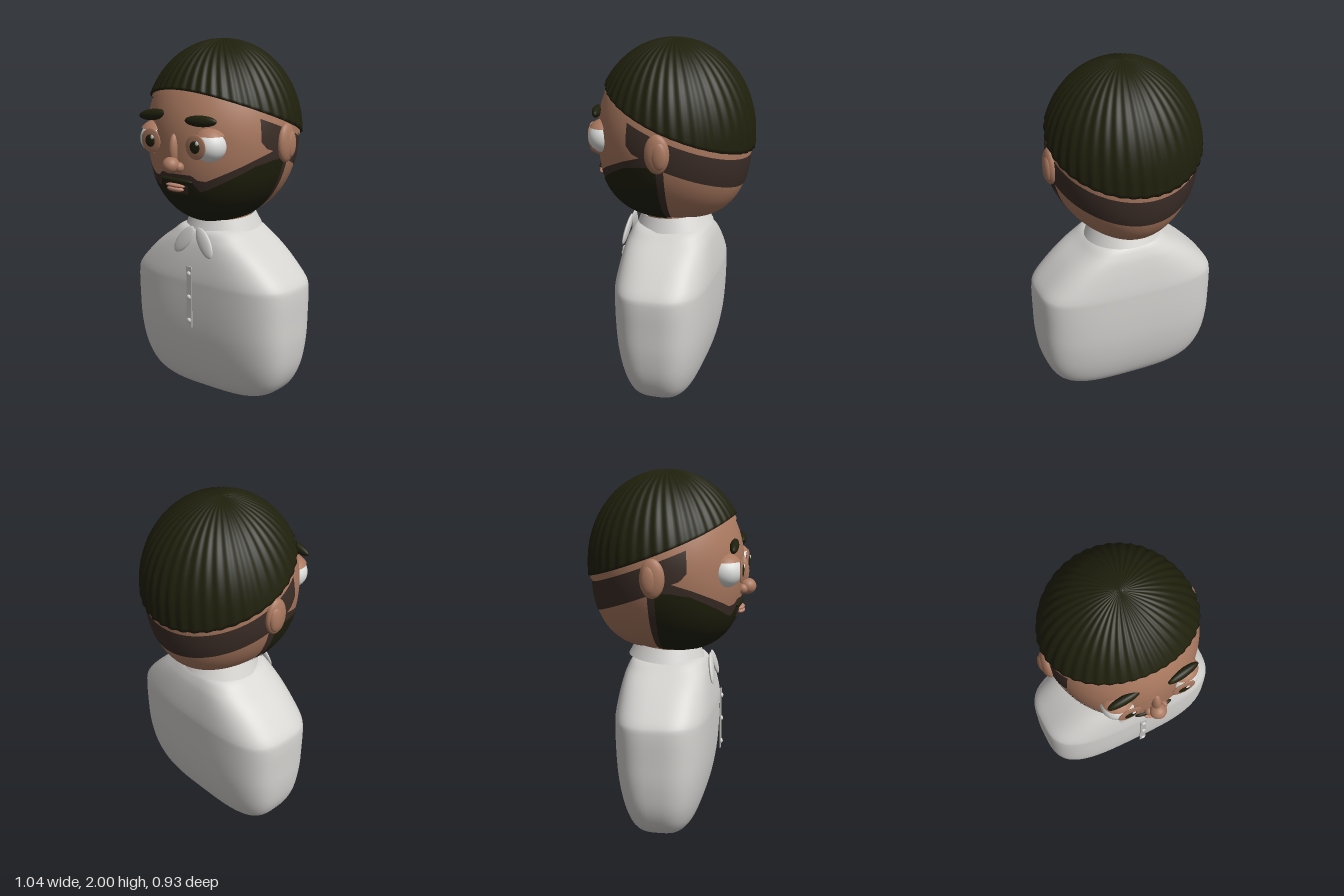
import * as THREE from 'three';
import { mergeVertices } from 'three/addons/utils/BufferGeometryUtils.js';

const DEG = Math.PI / 180;

function material(name, color) {
  const m = new THREE.MeshStandardMaterial({ color });
  m.name = name;
  return m;
}

// Smooth surface over u, v in 0..1; outward when u runs front to left and v runs up
function grid(nu, nv, point) {
  const pos = [], index = [];
  for (let j = 0; j <= nv; j++)
    for (let i = 0; i <= nu; i++) pos.push(...point(i / nu, j / nv));
  for (let j = 0; j < nv; j++)
    for (let i = 0; i < nu; i++) {
      const a = j * (nu + 1) + i, b = a + 1, c = b + nu + 1, d = a + nu + 1;
      index.push(a, b, c, a, c, d);
    }
  let g = new THREE.BufferGeometry();
  g.setAttribute('position', new THREE.Float32BufferAttribute(pos, 3));
  g.setIndex(index);
  g = mergeVertices(g, 1e-5);
  g.computeVertexNormals();
  return g;
}

// Piecewise linear lookup
function lookup(points, v) {
  for (let i = 1; i < points.length; i++) {
    const [a, ya] = points[i - 1], [b, yb] = points[i];
    if (v <= b) return ya + (yb - ya) * (v - a) / (b - a);
  }
  return points[points.length - 1][1];
}

// Egg-shaped head: angle a from the front, latitude t, lifted by off
const HEAD = { y: 1.5, z: -0.025, rx: 0.412, rz: 0.42, up: 0.479, down: 0.49 };
function headPoint(a, t, off = 0) {
  const s = Math.sin(t), k = 1 + off / 0.42;
  const rx = HEAD.rx * Math.max(0, Math.cos(t));
  const zPower = t < 0 ? 2.7 : 2;
  const rz = HEAD.rz * Math.pow(Math.max(0, 1 - Math.pow(Math.abs(s), zPower)), 1 / zPower);
  return [
    k * rx * Math.sin(a),
    HEAD.y + k * s * (t < 0 ? HEAD.down : HEAD.up),
    HEAD.z + k * rz * Math.cos(a),
  ];
}
const latitude = (y) => {
  const d = y - HEAD.y;
  return Math.asin(THREE.MathUtils.clamp(d / (d < 0 ? HEAD.down : HEAD.up), -1, 1));
};
// Heights that slope down from the forehead to the nape
const sloped = (base) => (a) => base + 0.4 * (0.41 * Math.cos(a) - 0.025);

// Thin painted area on the head between two height rules
function patch(fromDeg, toDeg, low, high, off) {
  const cols = Math.max(8, Math.ceil((toDeg - fromDeg) / 2));
  return grid(cols, 20, (u, v) => {
    const a = (fromDeg + (toDeg - fromDeg) * u) * DEG;
    return headPoint(a, THREE.MathUtils.lerp(latitude(low(a)), latitude(high(a)), v), off);
  });
}

export function createModel() {
  const skin = material('skin', 0xa9785f);
  const lip = material('lip', 0xbb8470);
  const hair = material('hair', 0x20200d);
  const fade = material('shaved hair', 0x3b2d27);
  const white = material('white cloth', 0xd5d3d0);
  const trim = material('trim', 0xbfbdba);
  const eyeWhite = material('eye white', 0xdddddb);

  const model = new THREE.Group();
  model.name = 'bust';
  const add = (name, geometry, mat, parent = model) => {
    const mesh = new THREE.Mesh(geometry, mat);
    mesh.name = name;
    parent.add(mesh);
    return mesh;
  };
  const blob = (name, mat, [x, y, z], [rx, ry, rz], parent) => {
    const mesh = add(name, new THREE.SphereGeometry(1, 32, 20), mat, parent);
    mesh.position.set(x, y, z);
    mesh.scale.set(rx, ry, rz);
    return mesh;
  };

  // Torso: rounded-rectangle sections (half width, height, half depth)
  const sections = [
    [0, 0, 0], [0.18, 0.003, 0.07], [0.33, 0.03, 0.13], [0.425, 0.09, 0.175],
    [0.485, 0.2, 0.215], [0.512, 0.35, 0.245], [0.517, 0.5, 0.258], [0.517, 0.66, 0.262],
    [0.508, 0.695, 0.262], [0.45, 0.765, 0.255], [0.355, 0.855, 0.24], [0.26, 0.925, 0.22],
    [0.19, 0.975, 0.185], [0, 0.985, 0],
  ].map((p) => new THREE.Vector3(...p));
  const rows = new THREE.CatmullRomCurve3(sections).getPoints((sections.length - 1) * 4);
  const round = (c) => Math.sign(c) * Math.pow(Math.abs(c), 2 / 3.3);
  add('torso', grid(96, rows.length - 1, (u, v) => {
    const p = rows[Math.round(v * (rows.length - 1))], a = u * 2 * Math.PI;
    return [p.x * round(Math.sin(a)), Math.max(0, p.y), -0.015 + p.z * round(Math.cos(a))];
  }), white);

  // Neck and collar
  const neck = add('neck', new THREE.CylinderGeometry(0.15, 0.15, 0.12, 40), skin);
  neck.position.set(0, 1.0, -0.025);
  const collarMat = white.clone();
  collarMat.side = THREE.DoubleSide;
  const collar = add('collar', new THREE.CylinderGeometry(0.18, 0.215, 0.075, 48, 1, true), collarMat);
  collar.position.set(0, 1.005, -0.025);
  collar.rotation.x = 0.07;

  // Collar points, hanging outward
  for (const s of [-1, 1]) {
    const leaf = blob('collarPoint', white, [s * 0.07, 0.92, 0.232], [0.042, 0.093, 0.013]);
    leaf.rotation.set(-0.18, 0, s * 0.63);
  }

  // Placket with buttons
  add('placket', new THREE.BoxGeometry(0.036, 0.35, 0.006), trim).position.set(0, 0.61, 0.277);
  for (const y of [0.475, 0.61, 0.745]) blob('button', white, [0, y, 0.282], [0.014, 0.014, 0.009]);

  // Head
  add('head', grid(96, 64, (u, v) => headPoint(u * 2 * Math.PI, (v - 0.5) * Math.PI)), skin);

  // Rippled hair with a turned-in lower edge
  const hairline = sloped(1.6);
  add('hair', grid(320, 40, (u, v) => {
    const a = u * 2 * Math.PI, w = Math.max(0, (v * 40 - 1) / 39);
    const t = THREE.MathUtils.lerp(latitude(hairline(a)), Math.PI / 2, w);
    const ripple = 0.0035 * Math.sin(40 * a + 5 * w) * (1 - w * w);
    return headPoint(a, t, v === 0 ? 0 : 0.018 + ripple);
  }), hair);
  add('hairlineBand', patch(0, 360, sloped(1.578), sloped(1.63), 0.008), skin);

  // Shaved sides, nape and beard outline
  const chin = () => HEAD.y - HEAD.down;
  const shape = (points) => (a) => lookup(points, Math.abs(a) / DEG);
  const outline = shape([[0, 1.325], [15, 1.325], [20, 1.3], [27, 1.295], [64, 1.41], [80, 1.45], [96, 1.45]]);
  const beardTop = shape([[0, 1.295], [15, 1.295], [18, 1.27], [22, 1.24], [27, 1.245], [64, 1.375], [78, 1.395], [90, 1.4]]);
  const fadeTop = sloped(1.565);
  add('beardOutline', patch(-95.5, 95.5, chin, outline, 0.003), fade);
  add('napeFade', patch(95.5, 264.5, sloped(1.405), fadeTop, 0.003), fade);
  const burnLow = shape([[67, 1.5], [72, 1.46], [80, 1.44], [96, 1.42]]);
  add('leftSideburn', patch(67, 95.5, burnLow, fadeTop, 0.003), fade);
  add('rightSideburn', patch(-95.5, -67, burnLow, fadeTop, 0.003), fade);
  add('beard', patch(-90, 90, chin, beardTop, 0.007), hair);

  // Mouth
  add('mouthSurround', patch(-12, 12, () => 1.222, () => 1.275, 0.01), fade);
  blob('moustache', hair, [0, 1.286, 0.372], [0.105, 0.018, 0.02]);
  blob('upperLip', lip, [0, 1.26, 0.383], [0.064, 0.011, 0.02]);
  blob('lowerLip', lip, [0, 1.241, 0.383], [0.056, 0.014, 0.022]);

  // Nose
  blob('noseBridge', skin, [0, 1.455, 0.385], [0.028, 0.085, 0.04]);
  blob('noseTip', skin, [0, 1.375, 0.418], [0.046, 0.044, 0.047]);
  for (const s of [-1, 1]) blob('nostril', skin, [s * 0.04, 1.365, 0.395], [0.024, 0.027, 0.028]);

  // Eyes and ears
  for (const s of [-1, 1]) {
    const eye = new THREE.Group();
    eye.name = s > 0 ? 'leftEye' : 'rightEye';
    model.add(eye);
    blob('eyeball', eyeWhite, [s * 0.185, 1.485, 0.318], [0.09, 0.086, 0.088], eye);
    const lid = add('eyelid', new THREE.SphereGeometry(1, 32, 12, 0, 2 * Math.PI, 0, 55 * DEG), skin, eye);
    lid.position.set(s * 0.185, 1.485, 0.318);
    lid.scale.set(0.1, 0.098, 0.097);
    blob('iris', skin, [s * 0.153, 1.485, 0.4], [0.066, 0.066, 0.009], eye);
    blob('pupil', hair, [s * 0.153, 1.485, 0.407], [0.033, 0.033, 0.006], eye);
    blob('glint', eyeWhite, [s * 0.153 + 0.017, 1.507, 0.411], [0.011, 0.011, 0.004], eye);

    const ear = new THREE.Group();
    ear.name = s > 0 ? 'leftEar' : 'rightEar';
    model.add(ear);
    blob('outerEar', skin, [s * 0.415, 1.475, -0.035], [0.034, 0.105, 0.067], ear);
    blob('innerEar', skin, [s * 0.432, 1.47, -0.05], [0.024, 0.075, 0.042], ear);
  }

  // Eyebrows, set slightly unevenly
  const brows = [['rightEyebrow', -0.17, 1.618, 0.362, 0.04, 0.16], ['leftEyebrow', 0.16, 1.616, 0.366, 0.17, 0.03]];
  for (const [name, x, y, z, yaw, roll] of brows) {
    blob(name, hair, [x, y, z], [0.094, 0.03, 0.024]).rotation.set(0, yaw, roll);
  }

  return model;
}
